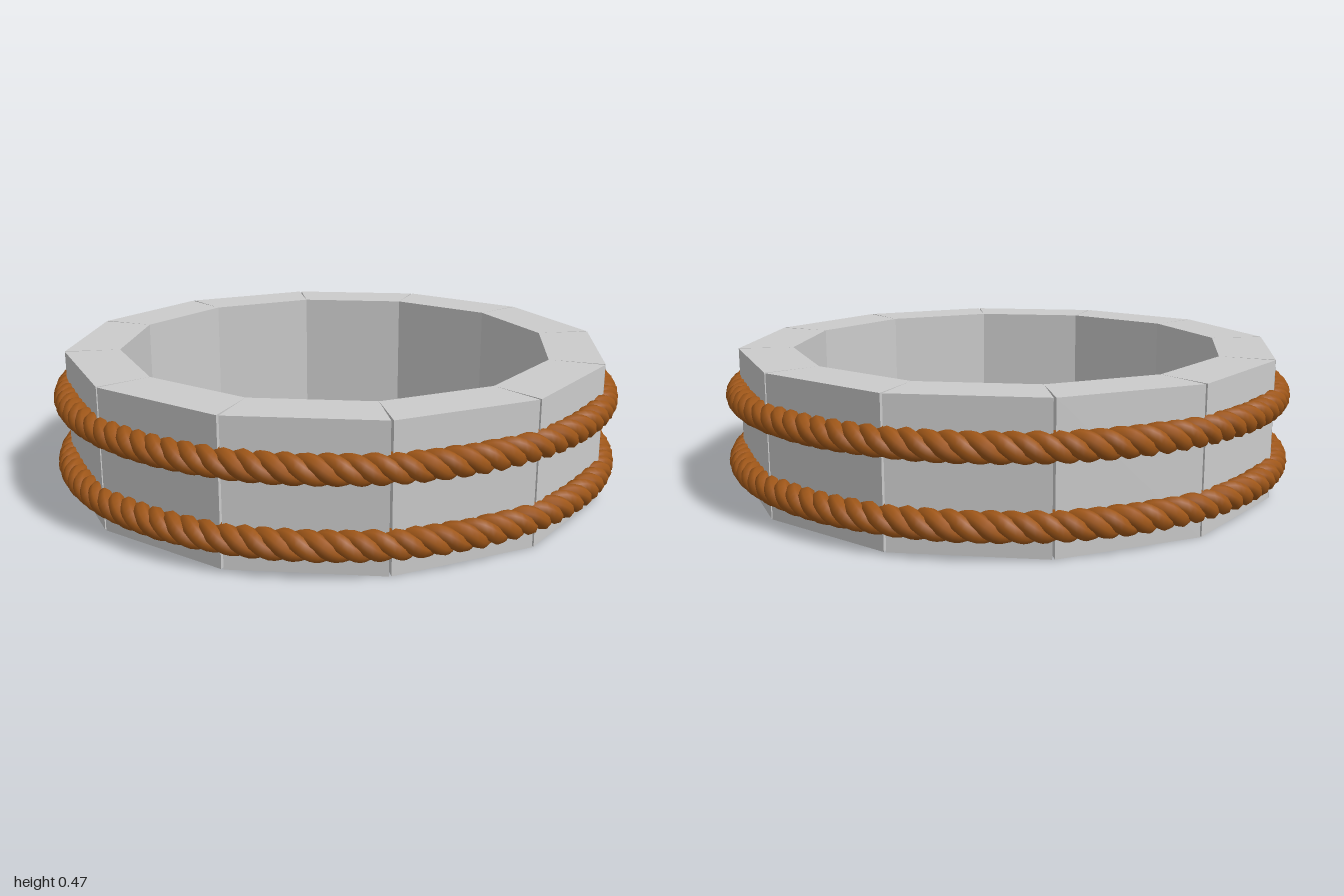
import * as THREE from 'three';

const SIDES = 12;
const HEIGHT = 0.475;
const OUTER = 0.955;
const INNER = 0.766;
const SEAM = 0.004;

// One strand of a twisted rope that runs in a closed ring
class StrandCurve extends THREE.Curve {
  constructor(ringRadius, twistRadius, turns, phase) {
    super();
    Object.assign(this, { ringRadius, twistRadius, turns, phase });
  }
  getPoint(t, target = new THREE.Vector3()) {
    const a = t * Math.PI * 2;
    const twist = this.phase - a * this.turns;
    const r = this.ringRadius + this.twistRadius * Math.cos(twist);
    return target.set(r * Math.sin(a), this.twistRadius * Math.sin(twist), r * Math.cos(a));
  }
  // uniform parameter is even enough and avoids arc-length lookup
  getPointAt(t, target) { return this.getPoint(t, target); }
  getTangentAt(t, target) { return this.getTangent(t, target); }
  getTangent(t, target = new THREE.Vector3()) {
    const d = 1e-4;
    return target.copy(this.getPoint(t + d)).sub(this.getPoint(t - d)).normalize();
  }
}

function makeRope(material, y) {
  const rope = new THREE.Group();
  rope.name = 'rope';
  for (let i = 0; i < 3; i++) {
    const curve = new StrandCurve(0.951, 0.022, 32, (i / 3) * Math.PI * 2);
    const strand = new THREE.Mesh(new THREE.TubeGeometry(curve, 512, 0.027, 8, true), material);
    strand.name = 'ropeStrand';
    rope.add(strand);
  }
  rope.position.y = y;
  return rope;
}

export function createModel() {
  const model = new THREE.Group();
  model.name = 'tub';
  const wood = new THREE.MeshStandardMaterial({ color: 0xcccccc, flatShading: true });
  const hemp = new THREE.MeshStandardMaterial({ color: 0x9e5618 });

  // Staves: wedge blocks meeting at the inner wall, with a thin seam opening outwards
  const half = Math.PI / SIDES;
  const outX = OUTER * Math.sin(half) - SEAM;
  const outY = OUTER * Math.cos(half);
  const inX = INNER * Math.sin(half);
  const inY = INNER * Math.cos(half);
  const section = new THREE.Shape([
    new THREE.Vector2(-inX, inY),
    new THREE.Vector2(inX, inY),
    new THREE.Vector2(outX, outY),
    new THREE.Vector2(-outX, outY),
  ]);
  const staveGeometry = new THREE.ExtrudeGeometry(section, { depth: HEIGHT, bevelEnabled: false });
  staveGeometry.rotateX(-Math.PI / 2);
  for (let i = 0; i < SIDES; i++) {
    const stave = new THREE.Mesh(staveGeometry, wood);
    stave.name = 'stave';
    stave.rotation.y = (2 * i + 1) * half;
    model.add(stave);
  }

  // Thin floor flush with the underside
  const floor = new THREE.Mesh(new THREE.CylinderGeometry(INNER, INNER, 0.004, SIDES), wood);
  floor.name = 'floor';
  floor.position.y = 0.002;
  model.add(floor);

  // Two rope hoops
  for (const y of [0.1, 0.333]) model.add(makeRope(hemp, y));

  return model;
}
